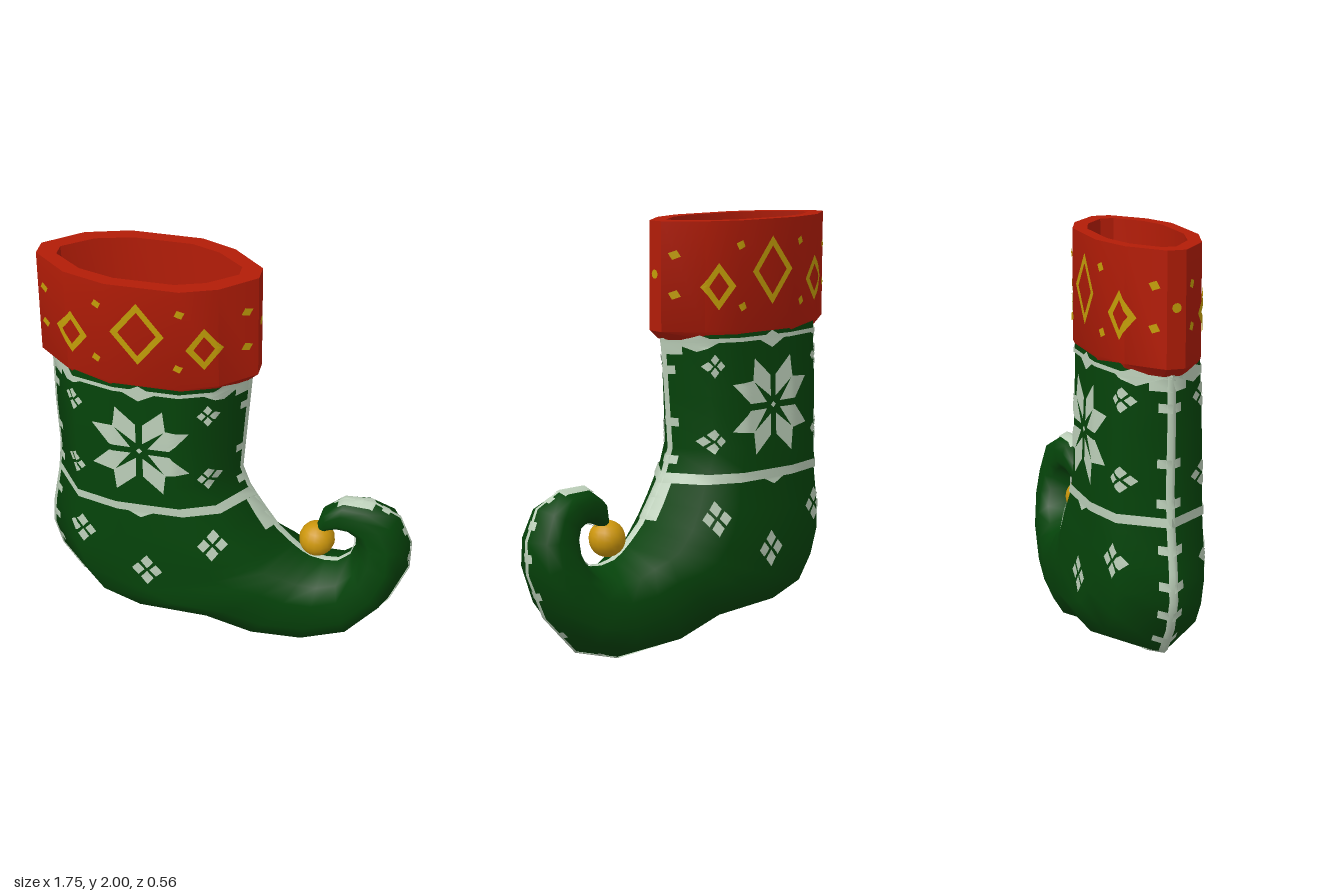
import * as THREE from 'three';
import { mergeGeometries, toCreasedNormals } from 'three/addons/utils/BufferGeometryUtils.js';

const mat = (name, color) => Object.assign(new THREE.MeshStandardMaterial({ color }), { name });

// Half outlines of a cross-section: [fraction from outer to inner edge, fraction of half depth]
const POINTED = [[0, 0], [0.16, 0.8], [0.37, 1], [0.69, 1], [0.86, 0.74], [1, 0]];
const BLUNT = [[0, 0.18], [0.16, 0.74], [0.36, 1], [0.69, 1], [0.85, 0.74], [1, 0.18]];

// Section: [outer x, outer y, inner x, inner y, half depth, inner half depth], from the shin to the curled tip
const BOOT = [
  [-0.82, 1.5, 0.11, 1.5, 0.225], [-0.82, 1.44, 0.1, 1.44, 0.227], [-0.82, 1.2, 0.08, 1.2, 0.237],
  [-0.81, 0.95, 0.06, 0.95, 0.245], [-0.82, 0.845, 0.095, 0.85, 0.247], [-0.826, 0.79, 0.13, 0.79, 0.248],
  [-0.86, 0.6, 0.18, 0.71, 0.25, 0.265], [-0.87, 0.47, 0.24, 0.62, 0.254, 0.275], [-0.83, 0.33, 0.285, 0.575, 0.258, 0.273],
  [-0.74, 0.2, 0.31, 0.55, 0.265, 0.267], [-0.53, 0.135, 0.33, 0.53, 0.28, 0.259], [-0.15, 0.11, 0.36, 0.5, 0.262, 0.243],
  [0.1, 0.02, 0.4, 0.475, 0.236, 0.224], [0.37, 0.005, 0.47, 0.46, 0.205], [0.61, 0.08, 0.53, 0.465, 0.182],
  [0.78, 0.27, 0.59, 0.515, 0.163], [0.865, 0.48, 0.61, 0.57, 0.137], [0.868, 0.63, 0.61, 0.62, 0.117],
  [0.81, 0.77, 0.595, 0.65, 0.1], [0.68, 0.835, 0.56, 0.665, 0.083], [0.55, 0.835, 0.515, 0.66, 0.068],
  [0.45, 0.76, 0.48, 0.645, 0.052], [0.425, 0.67, 0.46, 0.63, 0.03]
];
const CUFF = [
  [-0.75, 1.48, 0.03, 1.48, 0.165], [-0.77, 2, 0.05, 2, 0.175], [-0.86, 2, 0.14, 2, 0.232],
  [-0.86, 1.5, 0.14, 1.5, 0.232], [-0.815, 1.46, 0.095, 1.46, 0.215]
];

function ring([ax, ay, bx, by, outer, inner = outer], profile) {
  const point = ([t, d]) => new THREE.Vector3(ax + (bx - ax) * t, ay + (by - ay) * t, d * (t < 0.5 ? outer : inner));
  const back = profile.filter(p => p[1] > 0).reverse().map(([t, d]) => [t, -d]);
  return [...profile, ...back].map(point);
}

// Skin over rows of points; closed rows wrap around
function loft(rows, closed) {
  const n = rows[0].length, index = [];
  for (let s = 0; s < rows.length - 1; s++)
    for (let k = 0; k < (closed ? n : n - 1); k++) {
      const a = s * n + k, b = s * n + (k + 1) % n;
      index.push(a, a + n, b + n, a, b + n, b);
    }
  const g = new THREE.BufferGeometry().setFromPoints(rows.flat());
  g.setIndex(index);
  g.computeVertexNormals();
  return g;
}

// Flat fan closing one ring
function cap(points, flip) {
  const c = new THREE.Vector3();
  points.forEach(p => c.addScaledVector(p, 1 / points.length));
  const index = [], n = points.length;
  for (let k = 0; k < n; k++) flip ? index.push(n, (k + 1) % n, k) : index.push(n, k, (k + 1) % n);
  const g = new THREE.BufferGeometry().setFromPoints([...points, c]);
  g.setIndex(index);
  g.computeVertexNormals();
  return g;
}

const rings = BOOT.map(s => ring(s, POINTED));

// Point on the boot skin at section s and ring position k, lifted slightly outwards
function skin(s, k) {
  const at = r => {
    const n = r.length, i = Math.floor(k), m = j => r[((j % n) + n) % n];
    return m(i).clone().lerp(m(i + 1), k - i);
  };
  const i = Math.min(Math.floor(s), rings.length - 2), f = s - i;
  const p = at(rings[i]).lerp(at(rings[i + 1]), f);
  const middle = r => r[0].clone().lerp(r[5], 0.5);
  const centre = middle(rings[i]).lerp(middle(rings[i + 1]), f);
  return p.add(p.clone().sub(centre).setLength(0.007));
}
function patch(s0, s1, ks) {
  const ss = [s0];
  for (let i = Math.floor(s0) + 1; i < s1; i++) ss.push(i);
  ss.push(s1);
  return loft(ss.map(s => ks.map(k => skin(s, k))), false);
}

// Four-cornered motif laid onto the side of a mesh
const caster = new THREE.Raycaster();
function quad(corners, target, n = 5) {
  const area = corners.reduce((a, p, i) => {
    const q = corners[(i + 1) % 4];
    return a + p[0] * q[1] - q[0] * p[1];
  }, 0);
  const c = area < 0 ? [...corners].reverse() : corners;
  const g = new THREE.PlaneGeometry(1, 1, n, n), pos = g.attributes.position;
  for (let i = 0; i < pos.count; i++) {
    const u = pos.getX(i) + 0.5, v = pos.getY(i) + 0.5;
    const mix = j => c[0][j] * (1 - u) * (1 - v) + c[1][j] * u * (1 - v) + c[2][j] * u * v + c[3][j] * (1 - u) * v;
    caster.set(new THREE.Vector3(mix(0), mix(1), 2), new THREE.Vector3(0, 0, -1));
    const hit = caster.intersectObject(target)[0];
    const p = hit ? hit.point.clone().addScaledVector(hit.face.normal, 0.006) : new THREE.Vector3(mix(0), mix(1), 0);
    pos.setXYZ(i, p.x, p.y, p.z);
  }
  g.computeVertexNormals();
  return g;
}
const rhomb = (x, y, w, h) => [[x + w, y], [x, y + h], [x - w, y], [x, y - h]];
function rhombRing(x, y, w, h, t, target) {
  const o = rhomb(x, y, w, h), i = rhomb(x, y, w - t, h - t * 1.25);
  return o.map((p, j) => quad([p, o[(j + 1) % 4], i[(j + 1) % 4], i[j]], target, 6));
}
// The same motifs on the far side
function mirrorZ(g) {
  const m = g.clone().scale(1, 1, -1);
  m.setIndex([...g.index.array].reverse());
  m.computeVertexNormals();
  return m;
}

export function createModel() {
  const group = new THREE.Group();
  const green = mat('green felt', 0x05430a), red = mat('red felt', 0xb21c07);
  const gold = mat('gold bell', 0xcc960c), yellow = mat('yellow thread', 0xc39d08), white = mat('pale thread', 0xbccfb9);
  white.side = yellow.side = THREE.DoubleSide;
  const add = (name, geometry, material) => {
    const m = new THREE.Mesh(geometry, material);
    m.name = name;
    group.add(m);
    return m;
  };

  // Boot with curled toe, and the lining floor inside the cuff
  const boot = add('boot', loft(rings, true), green);
  add('liningFloor', cap(rings[0], false), green);
  add('toeTip', cap(rings[rings.length - 1], true), green);

  // Cuff
  const cuff = add('cuff', toCreasedNormals(loft(CUFF.map(s => ring(s, BLUNT)), true), 0.65), red);

  // Bell
  const bell = add('bell', new THREE.SphereGeometry(0.085, 16, 12), gold);
  bell.position.set(0.425, 0.577, 0);

  // Knitted bands round the ankle and below the cuff
  const around = Array.from({ length: 21 }, (_, i) => i / 2);
  add('ankleBand', patch(4.15, 4.9, around), white);
  add('topBand', patch(0.55, 0.88, around), white);

  // Stitched seams with small cross stitches, and the wider pale areas they run into
  const seams = [
    { name: 'backSeam', k: 0, end: 20.5, wide: [[0.7, 1.2, 0.45], [18.9, 20.3, 0.6]] },
    { name: 'frontSeam', k: 5, end: 21, wide: [[0.7, 1.2, 0.45], [4.9, 6.8, 0.3]] }
  ];
  for (const { name, k, end, wide } of seams) {
    const span = w => [k - w, k, k + w];
    const parts = [patch(0.7, end, span(0.1)), ...wide.map(([a, b, w]) => patch(a, b, span(w)))];
    for (let s = 1; s < end - 1; s++) {
      const length = rings[s][k].distanceTo(rings[s + 1][k]);
      const count = Math.round(length / 0.17);
      for (let j = 0; j < count; j++) {
        const m = s + (j + 0.5) / count, h = 0.02 / length;
        parts.push(patch(m - h, m + h, span(0.27)));
      }
    }
    add(name, mergeGeometries(parts), white);
  }

  // Eight-petalled snowflake
  const knit = [quad(rhomb(-0.365, 1.14, 0.015, 0.015), boot)];
  const petal = [[0.015, 0.04], [0.016, 0.14], [0.11, 0.225], [0.122, 0.12]];
  for (const sx of [-1, 1]) for (const sy of [-1, 1]) for (const swap of [0, 1])
    knit.push(quad(petal.map(p => [-0.365 + sx * p[swap], 1.14 + sy * p[1 - swap]]), boot, 6));

  // Small four-petalled motifs
  [[-0.68, 1.34, 0.75], [-0.06, 1.34, 0.75], [-0.68, 0.99, 0.8], [-0.06, 0.99, 0.8],
    [-0.66, 0.62, 1.1], [-0.03, 0.64, 1.1], [-0.34, 0.46, 1.2]].forEach(([x, y, r]) => {
    for (const d of [-1, 1]) {
      knit.push(quad(rhomb(x + d * 0.036 * r, y, 0.026 * r, 0.03 * r), boot, 3));
      knit.push(quad(rhomb(x, y + d * 0.04 * r, 0.026 * r, 0.034 * r), boot, 3));
    }
  });
  // Points hanging from the two bands
  [-0.72, -0.365, 0].forEach(x => knit.push(quad(rhomb(x, 1.447, 0.075, 0.04), boot)));
  knit.push(quad(rhomb(-0.365, 0.795, 0.06, 0.03), boot));

  // Diamonds and dots on the cuff
  const trim = [
    ...rhombRing(-0.36, 1.765, 0.122, 0.157, 0.036, cuff),
    ...rhombRing(-0.67, 1.705, 0.078, 0.107, 0.034, cuff),
    ...rhombRing(-0.07, 1.705, 0.078, 0.107, 0.034, cuff)
  ];
  [[-0.54, 1.89], [-0.17, 1.89], [-0.55, 1.61], [-0.18, 1.61], [-0.815, 1.85], [-0.815, 1.67], [0.095, 1.85], [0.095, 1.67]]
    .forEach(([x, y]) => {
      const r = 0.022, q = 0.008;
      trim.push(quad([[x + r, y + q], [x - q, y + r], [x - r, y - q], [x + q, y - r]], cuff, 2));
    });
  for (const [name, parts, material] of [['knitMotifs', knit, white], ['cuffMotifs', trim, yellow]]) {
    const g = mergeGeometries(parts);
    add(name + 'Front', g, material);
    add(name + 'Back', mirrorZ(g), material);
  }
  for (const d of [-1, 1]) {
    const dot = add('cuffEndDot', new THREE.CircleGeometry(0.021, 10), yellow);
    dot.position.set(-0.36 + d * 0.504, 1.76, 0);
    dot.rotation.y = d * Math.PI / 2;
  }
  return group;
}
